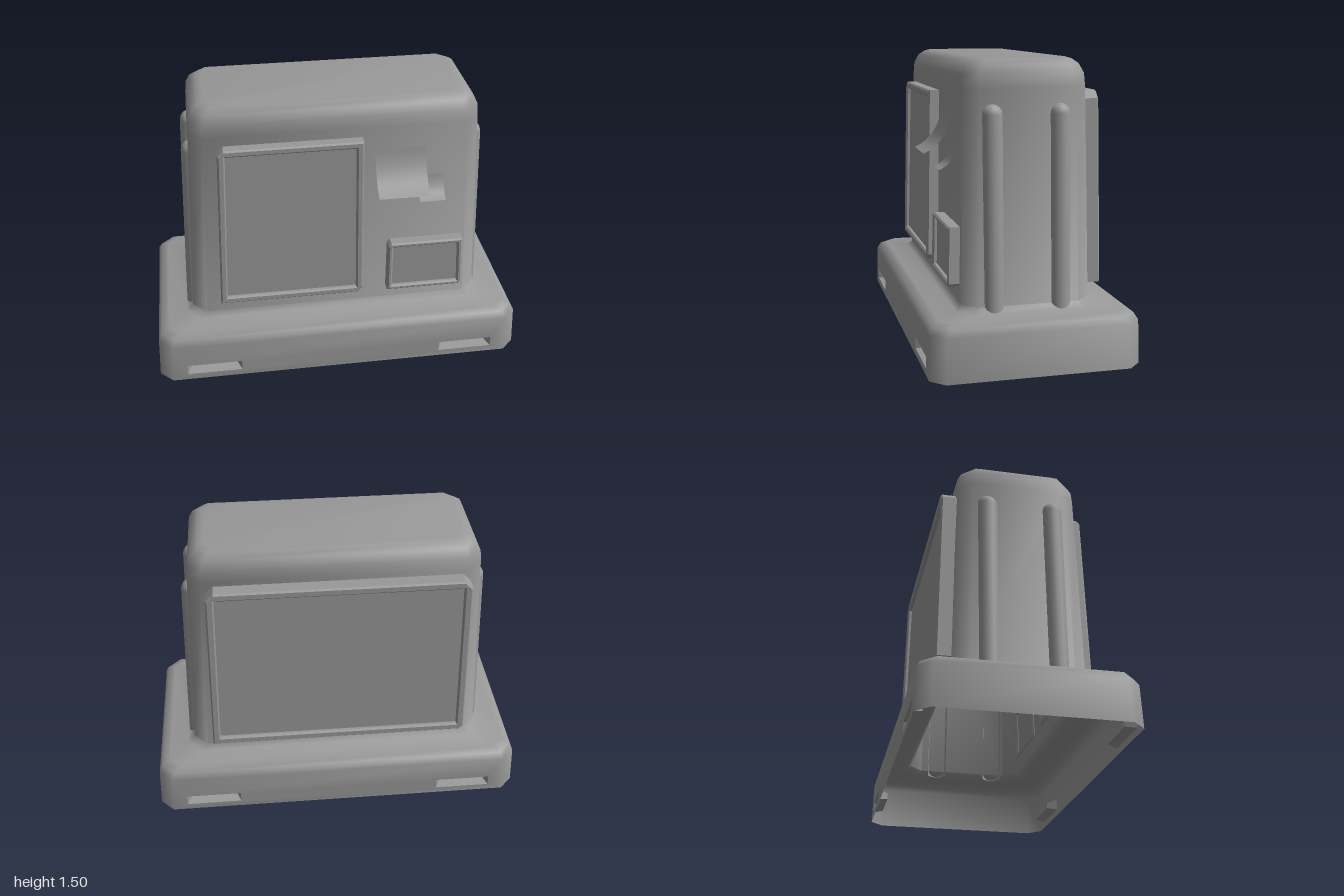
import * as THREE from 'three';
import { mergeGeometries, toCreasedNormals } from 'three/addons/utils/BufferGeometryUtils.js';

const grey = new THREE.MeshStandardMaterial({ color: 0x999999, side: THREE.DoubleSide });

function addMesh(parent, name, geometry) {
  const mesh = new THREE.Mesh(geometry, grey);
  mesh.name = name;
  parent.add(mesh);
  return mesh;
}

// Skin closed rings of [x, y, z] points; optionally skip some quads, then cap the last ring
function loft(rings, skip = () => false) {
  const n = rings[0].length, index = [];
  for (let j = 0; j < rings.length - 1; j++) {
    for (let i = 0; i < n; i++) {
      if (skip(i, j)) continue;
      const a = j * n + i, b = j * n + (i + 1) % n;
      index.push(a, a + n, b, b, a + n, b + n);
    }
  }
  const top = (rings.length - 1) * n;
  for (let i = 1; i < n - 1; i++) index.push(top, top + i + 1, top + i);
  const geo = new THREE.BufferGeometry();
  geo.setAttribute('position', new THREE.Float32BufferAttribute(rings.flat(2), 3));
  geo.setIndex(index);
  return geo.toNonIndexed();
}

// Rectangle with cut corners, at height y
function ring([y, hx, hz, c]) {
  return [
    [hx, y, c - hz], [hx, y, hz - c], [hx - c, y, hz], [c - hx, y, hz],
    [-hx, y, hz - c], [-hx, y, c - hz], [c - hx, y, -hz], [hx - c, y, -hz],
  ];
}

const polygon = (pts) => pts.map(([x, y]) => new THREE.Vector2(x, y));
const wallZ = (y) => 0.53 - 0.005 * y / 0.22;

// Rectangle of a lifting slot, clockwise
const slotRect = (cx, hw, y0, y1) => [[cx - hw, y0], [cx - hw, y1], [cx + hw, y1], [cx + hw, y0]];

// Long wall of the plinth with two tapered slots sunk into it
function slottedWall() {
  const shape = new THREE.Shape(polygon([[-0.93, 0], [0.93, 0], [0.92, 0.22], [-0.92, 0.22]]));
  const pieces = [];
  for (const cx of [-0.7, 0.7]) {
    const outer = slotRect(cx, 0.148, 0.035, 0.093);
    const inner = slotRect(cx, 0.125, 0.045, 0.075);
    shape.holes.push(new THREE.Path(polygon(outer)));
    pieces.push(loft([
      outer.map(([x, y]) => [x, y, wallZ(y)]).reverse(),
      inner.map(([x, y]) => [x, y, 0.475]).reverse(),
    ]));
  }
  const wall = new THREE.ShapeGeometry(shape).toNonIndexed();
  wall.deleteAttribute('uv');
  wall.deleteAttribute('normal');
  const pos = wall.attributes.position;
  for (let i = 0; i < pos.count; i++) pos.setZ(i, wallZ(pos.getY(i)));
  return mergeGeometries([wall, ...pieces]);
}

// Framed panel: raised bevelled rim and sunken screen, leaning with the wall.
// Cuts are the corner chamfers: bottom left, bottom right, top right, top left.
function framedPanel(name, { bottom, top, y, zBottom, slope, rim, depth, cuts }) {
  const group = new THREE.Group();
  group.name = name;
  const [y0, y1] = y;
  const corners = polygon([[bottom[0], y0], [bottom[1], y0], [top[1], y1], [top[0], y1]]);
  const outline = corners.flatMap((p, i) => {
    if (cuts[i] === 0) return [p];
    return [corners[(i + 3) % 4], corners[(i + 1) % 4]].map((q) =>
      p.clone().add(q.clone().sub(p).setLength(cuts[i])));
  });
  const opening = polygon([
    [bottom[0] + rim, y0 + rim], [bottom[1] - rim, y0 + rim],
    [top[1] - rim, y1 - rim], [top[0] + rim, y1 - rim],
  ]);
  const lean = (geo) => {
    const pos = geo.attributes.position;
    for (let i = 0; i < pos.count; i++) {
      pos.setZ(i, pos.getZ(i) + zBottom - slope * (pos.getY(i) - y0));
    }
    geo.computeVertexNormals();
    return geo;
  };
  const shape = new THREE.Shape(outline);
  shape.holes.push(new THREE.Path(opening.slice().reverse()));
  const bevel = 0.008;
  const frame = new THREE.ExtrudeGeometry(shape, {
    depth: depth - 2 * bevel, bevelEnabled: true, bevelThickness: bevel, bevelSize: bevel,
    bevelOffset: -bevel, bevelSegments: 1,
  }).translate(0, 0, bevel - depth);
  addMesh(group, 'frame', lean(frame));
  addMesh(group, 'screen', lean(new THREE.ShapeGeometry(new THREE.Shape(opening)).translate(0, 0, -0.022)));
  return group;
}

// Curling paper strip that leaves the wall and bends outward; points are [z, y]
function paperStrip(x0, x1, points) {
  const curve = new THREE.QuadraticBezierCurve(...polygon(points));
  const geo = new THREE.PlaneGeometry(x1 - x0, 1, 1, 8);
  const pos = geo.attributes.position;
  for (let i = 0; i < pos.count; i++) {
    const p = curve.getPoint(0.5 - pos.getY(i));
    pos.setXYZ(i, pos.getX(i) + (x0 + x1) / 2, p.y, p.x);
  }
  geo.computeVertexNormals();
  return geo;
}

// Half-round rib with a domed top, open at the foot where it meets the plinth
function ribGeometry(side) {
  const r = 0.054, height = 1.02;
  const profile = [new THREE.Vector2(r, 0)];
  for (let i = 0; i <= 5; i++) {
    const a = i / 5 * Math.PI / 2;
    profile.push(new THREE.Vector2(r * Math.cos(a), height - r + r * Math.sin(a)));
  }
  return new THREE.LatheGeometry(profile, 8, side > 0 ? 0 : Math.PI, Math.PI);
}

export function createModel() {
  const model = new THREE.Group();
  model.name = 'kiosk';

  // Hollow housing: plinth, shoulder and tapering body, open underneath
  const shell = loft([
    [0, 1, 0.53, 0.07], [0.22, 0.99, 0.525, 0.07], [0.255, 0.972, 0.505, 0.07],
    [0.272, 0.93, 0.47, 0.06], [0.272, 0.83, 0.355, 0.08], [0.3, 0.795, 0.33, 0.075],
    [1.36, 0.748, 0.313, 0.07], [1.425, 0.742, 0.308, 0.07], [1.472, 0.72, 0.285, 0.065],
    [1.496, 0.69, 0.252, 0.055], [1.504, 0.66, 0.225, 0.05],
  ].map(ring), (i, j) => j === 0 && (i === 2 || i === 6));
  const housing = mergeGeometries([shell, slottedWall(), slottedWall().rotateY(Math.PI)]);
  addMesh(model, 'housing', toCreasedNormals(housing, 1.0));

  // Vertical ribs on both ends, leaning with the body
  for (const side of [-1, 1]) {
    for (const z of [0.178, -0.163]) {
      const rib = addMesh(model, 'sideRib', ribGeometry(side));
      rib.position.set(side * 0.773, 0.27, z);
      rib.rotation.z = side * 0.04;
    }
  }

  // Front display and keypad panels
  model.add(framedPanel('frontDisplay', {
    bottom: [-0.64, 0.137], top: [-0.609, 0.132], y: [0.386, 1.312],
    zBottom: 0.39, slope: 0.02, rim: 0.037, depth: 0.072, cuts: [0, 0.03, 0, 0.03],
  }));
  model.add(framedPanel('keypadPanel', {
    bottom: [0.273, 0.692], top: [0.275, 0.682], y: [0.383, 0.682],
    zBottom: 0.39, slope: 0.02, rim: 0.026, depth: 0.072, cuts: [0, 0.015, 0, 0.015],
  }));

  // Large display on the back
  const back = framedPanel('backDisplay', {
    bottom: [-0.685, 0.705], top: [-0.66, 0.685], y: [0.36, 1.337],
    zBottom: 0.408, slope: 0.017, rim: 0.042, depth: 0.087, cuts: [0, 0.025, 0.04, 0.04],
  });
  back.rotation.y = Math.PI;
  model.add(back);

  // Paper strips hanging out of the front
  addMesh(model, 'largePaperStrip', paperStrip(0.2, 0.467, [[0.313, 1.25], [0.325, 1.08], [0.46, 1.02]]));
  addMesh(model, 'smallPaperStrip', paperStrip(0.43, 0.567, [[0.316, 1.08], [0.325, 0.98], [0.4, 0.95]]));

  return model;
}
